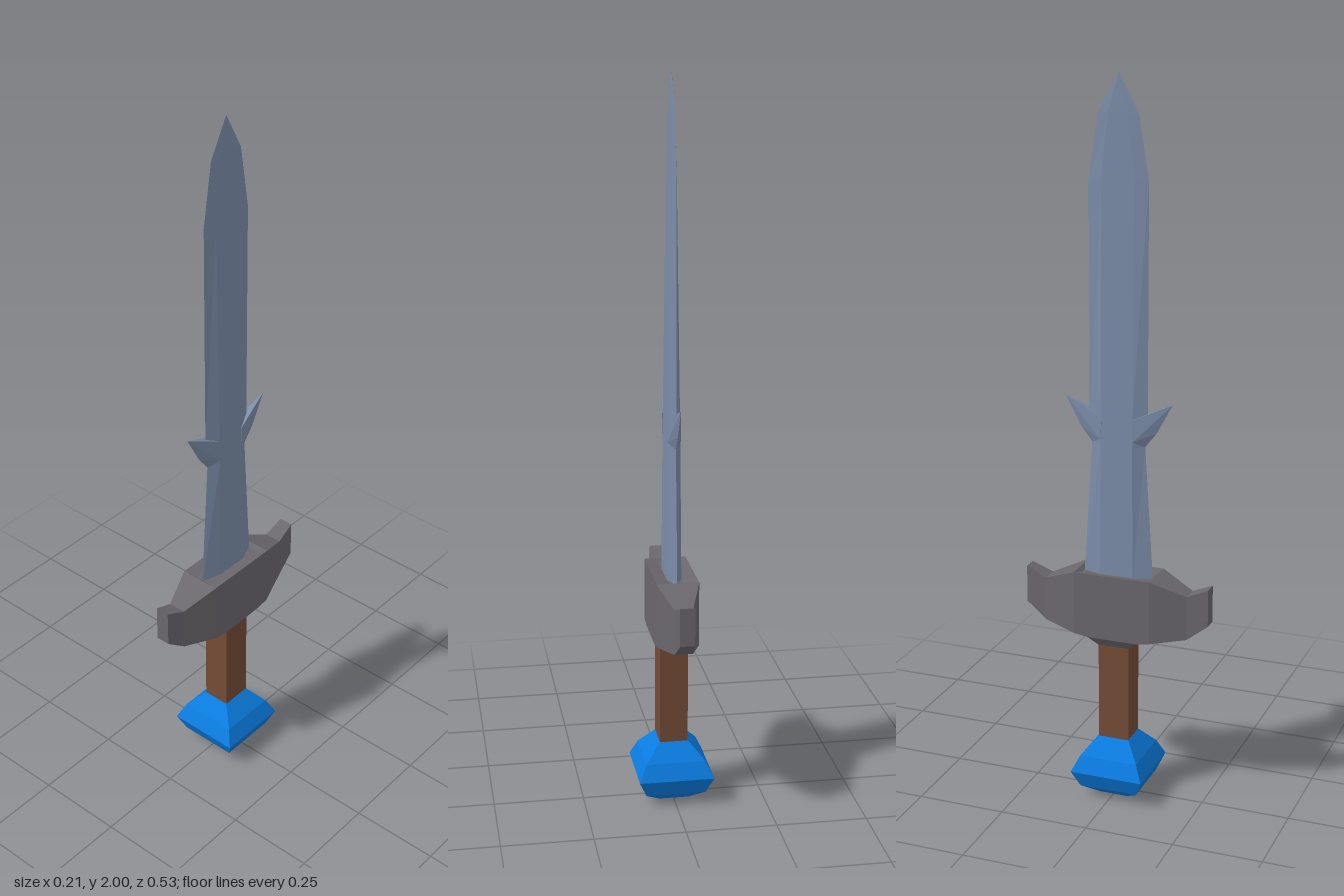
import * as THREE from 'three';
import { ConvexGeometry } from 'three/addons/geometries/ConvexGeometry.js';

const material = (name, color) => {
  const m = new THREE.MeshStandardMaterial({ color });
  m.name = name;
  return m;
};

// Faceted skin over a stack of rings with equal point counts, capped at both ends.
function loft(rings) {
  const pos = [];
  const tri = (a, b, c) => pos.push(...a, ...b, ...c);
  for (let i = 0; i < rings.length - 1; i++) {
    const a = rings[i], b = rings[i + 1], n = a.length;
    for (let j = 0; j < n; j++) {
      const k = (j + 1) % n;
      tri(a[j], a[k], b[k]);
      tri(a[j], b[k], b[j]);
    }
  }
  const first = rings[0], last = rings[rings.length - 1];
  for (let j = 1; j < first.length - 1; j++) {
    tri(first[0], first[j + 1], first[j]);
    tri(last[0], last[j], last[j + 1]);
  }
  const g = new THREE.BufferGeometry();
  g.setAttribute('position', new THREE.Float32BufferAttribute(pos, 3));
  g.computeVertexNormals();
  return g;
}

// Ring shapes: flat rectangle, upright rectangle, and bevelled blade hexagon.
const flatRect = ([x, z, y]) => [[x, y, z], [x, y, -z], [-x, y, -z], [-x, y, z]];
const uprightRect = ([x, y0, y1, z]) => [[x, y0, z], [x, y1, z], [-x, y1, z], [-x, y0, z]];
const bladeHex = ([y, w, c, t]) =>
  [[0, y, w], [t, y, c], [t, y, -c], [0, y, -w], [-t, y, -c], [-t, y, c]];

export function createModel() {
  const group = new THREE.Group();
  group.name = 'sword';
  const steel = material('steel', 0x7b8ca8);
  const iron = material('iron', 0x6a676d);
  const leather = material('leather', 0x754b37);
  const blue = material('blue', 0x0a7ce0);

  const add = (name, geometry, mat) => {
    const mesh = new THREE.Mesh(geometry, mat);
    mesh.name = name;
    group.add(mesh);
    return mesh;
  };

  // Pommel and grip: half width, half depth, height
  add('pommel', loft([
    [0.04, 0.04, 0], [0.083, 0.083, 0.032], [0.104, 0.104, 0.08],
    [0.083, 0.083, 0.125], [0.04, 0.045, 0.173],
  ].map(flatRect)), blue);
  add('grip', loft([[0.039, 0.044, 0.16], [0.039, 0.044, 0.46]].map(flatRect)), leather);

  // Guard block, with a shallow recess around the blade
  add('guardBlock', loft([
    [0.04, 0.045, 0.45], [0.058, 0.07, 0.475], [0.058, 0.11, 0.481],
    [0.058, 0.11, 0.66], [0.02, 0.1, 0.65],
  ].map(flatRect)), iron);

  // Guard wings: half width, bottom, top, distance from the middle
  const wing = loft([
    [0.058, 0.481, 0.66, 0.11], [0.025, 0.495, 0.62, 0.206], [0.02, 0.54, 0.645, 0.265],
  ].map(uprightRect));
  add('frontWing', wing, iron);
  add('backWing', wing, iron).rotation.y = Math.PI;

  // Blade: height, half breadth, half breadth of the flat, half thickness
  add('blade', loft([
    [0.63, 0.101, 0.048, 0.02], [1.02, 0.076, 0.045, 0.017], [1.1, 0.083, 0.045, 0.016],
    [1.73, 0.083, 0.045, 0.007], [1.9, 0.055, 0.027, 0.004], [2, 0.001, 0.0005, 0.0005],
  ].map(bladeHex)), steel);

  // Barbs: thin edge outline with a ridge on either side
  const v = (x, y, z) => new THREE.Vector3(x, y, z);
  const barb = new ConvexGeometry([
    v(0, 1.145, 0.153), v(0, 1.062, 0.108), v(0, 1.02, 0.075),
    v(0.018, 1.095, 0.042), v(-0.018, 1.095, 0.042),
    v(0.018, 1.035, 0.046), v(-0.018, 1.035, 0.046),
  ]);
  add('frontBarb', barb, steel);
  add('backBarb', barb, steel).rotation.y = Math.PI;

  return group;
}
